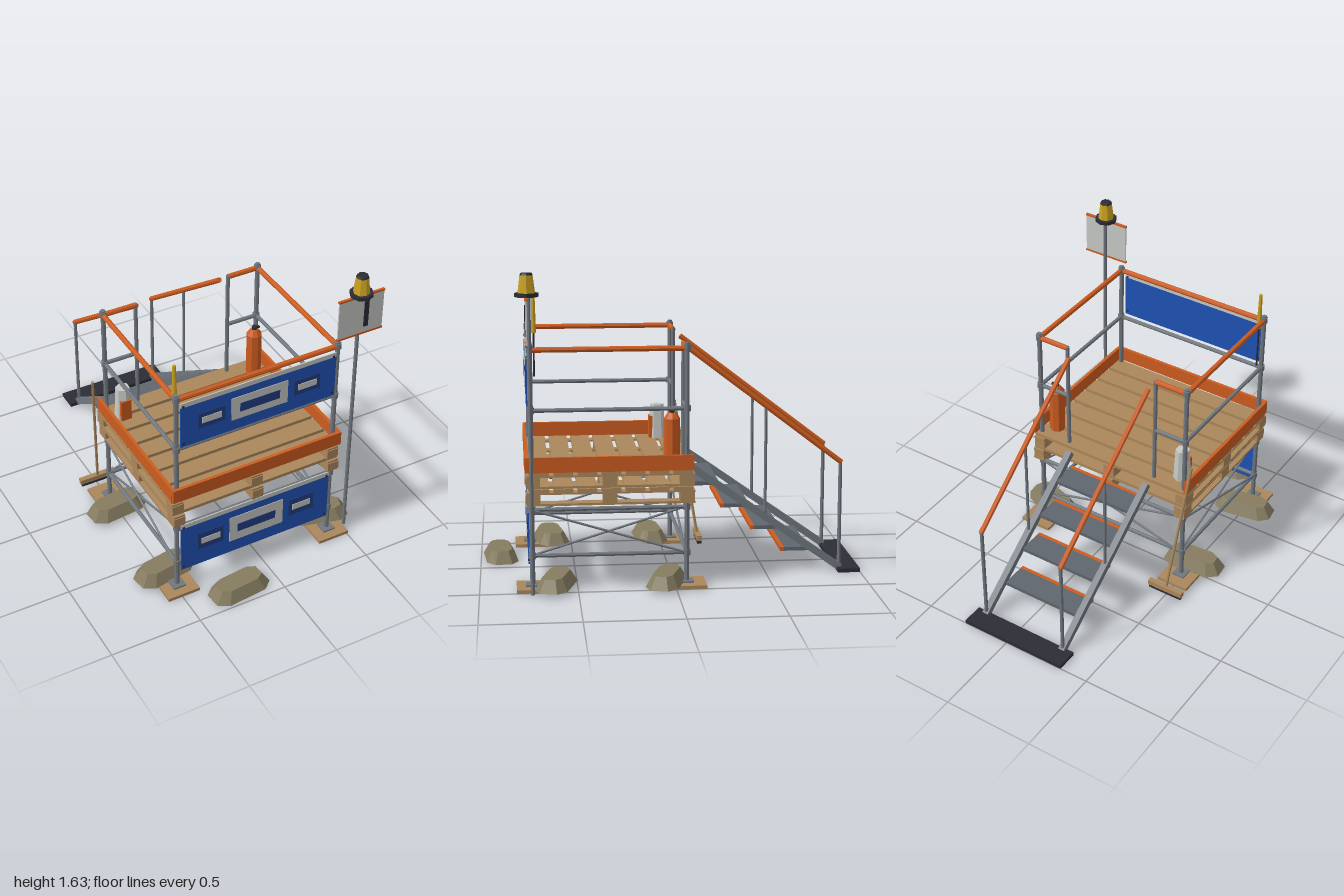
import * as THREE from 'three';

const mat = (name, color) => Object.assign(new THREE.MeshStandardMaterial({ color, flatShading: true }), { name });
const M = {
  wood: mat('wood', 0xab875b), orange: mat('safety orange', 0xcc5c20), blue: mat('banner blue', 0x1f52b4),
  navy: mat('navy', 0x213c82), white: mat('off white', 0xc6c9c5), steel: mat('steel', 0x70777e),
  tread: mat('tread grey', 0x60666e), dark: mat('dark rubber', 0x2b2c35), yellow: mat('yellow', 0xcaa21f),
  sand: mat('sandbag', 0x857b60),
};

export function createModel() {
  const root = new THREE.Group();
  root.name = 'workPlatform';
  const group = (name) => { const g = new THREE.Group(); g.name = name; root.add(g); return g; };
  const add = (parent, name, geo, m, x = 0, y = 0, z = 0) => {
    const mesh = new THREE.Mesh(geo, m);
    mesh.name = name;
    mesh.position.set(x, y, z);
    parent.add(mesh);
    return mesh;
  };
  // box given by its limits
  const box = (p, name, m, x0, x1, y0, y1, z0, z1) =>
    add(p, name, new THREE.BoxGeometry(x1 - x0, y1 - y0, z1 - z0), m, (x0 + x1) / 2, (y0 + y1) / 2, (z0 + z1) / 2);
  // upright cylinder or cone between two heights
  const drum = (p, name, m, x, z, y0, y1, r0, r1 = r0, n = 8) =>
    add(p, name, new THREE.CylinderGeometry(r1, r0, y1 - y0, n), m, x, (y0 + y1) / 2, z);
  // round tube between two points
  const rod = (p, name, m, a, b, r = 0.011) => {
    const A = new THREE.Vector3(...a), B = new THREE.Vector3(...b), d = B.clone().sub(A);
    const mesh = add(p, name, new THREE.CylinderGeometry(r, r, d.length(), 8), m);
    mesh.position.copy(A).add(B).multiplyScalar(0.5);
    mesh.quaternion.setFromUnitVectors(new THREE.Vector3(0, 1, 0), d.normalize());
    return mesh;
  };

  const XL = -0.49, XR = 0.417, ZB = -0.06, ZF = 0.73;

  // scaffold posts, collars, foot plates and wooden pads
  const frame = group('scaffoldFrame');
  for (const x of [XL, XR]) for (const z of [ZB, ZF]) {
    drum(frame, 'post', M.steel, x, z, 0.02, 1.26, 0.013);
    for (const y of [0.175, 0.415, 0.925, 1.235]) drum(frame, 'collar', M.steel, x, z, y - 0.016, y + 0.016, 0.019);
    box(frame, 'footPlate', M.steel, x - 0.035, x + 0.035, 0.02, 0.028, z - 0.035, z + 0.035);
    const pz = z === ZF ? 0.705 : -0.05;
    box(frame, 'footPad', M.wood, x - 0.09, x + 0.09, 0.002, 0.02, pz - 0.107, pz + 0.107);
  }

  // ledgers, guard rails and cross braces
  for (const x of [XL, XR]) {
    for (const y of [0.175, 0.415, 0.925]) rod(frame, 'sideRail', M.steel, [x, y, ZB], [x, y, ZF]);
    rod(frame, 'topRail', M.orange, [x, 1.232, ZB], [x, 1.232, ZF], 0.014);
    rod(frame, 'brace', M.steel, [x + 0.008, 0.175, ZB], [x + 0.008, 0.415, ZF], 0.006);
    rod(frame, 'brace', M.steel, [x - 0.008, 0.415, ZB], [x - 0.008, 0.175, ZF], 0.006);
  }
  for (const z of [ZB, ZF]) for (const y of [0.175, 0.415]) rod(frame, 'crossRail', M.steel, [XL, y, z], [XR, y, z]);
  rod(frame, 'brace', M.steel, [XL, 0.175, ZB - 0.008], [XR, 0.415, ZB - 0.008], 0.006);
  rod(frame, 'brace', M.steel, [XL, 0.415, ZB + 0.008], [XR, 0.175, ZB + 0.008], 0.006);
  rod(frame, 'midRail', M.steel, [XL, 0.925, ZF], [XR, 0.925, ZF]);
  rod(frame, 'topRail', M.orange, [XL, 1.232, ZF], [XR, 1.232, ZF], 0.014);
  for (const [a, b] of [[XL, -0.305], [XR, 0.238]]) {
    rod(frame, 'gateTopRail', M.orange, [a, 1.232, ZB], [b, 1.232, ZB], 0.014);
    rod(frame, 'gateMidRail', M.steel, [a, 0.925, ZB], [b, 0.925, ZB]);
    drum(frame, 'gatePost', M.steel, b, ZB, 0.6, 1.24, 0.011);
  }

  // two stacked pallets
  const pallet = (dx, top) => {
    const g = group('pallet');
    g.position.set(dx, top, 0);
    for (let i = 0; i < 7; i++) {
      const z = -0.09 + i * 0.1218;
      box(g, 'slat', M.wood, -0.525, 0.442, -0.018, 0, z, z + 0.1);
    }
    for (const x of [-0.495, -0.042, 0.41]) {
      box(g, 'stringer', M.wood, x - 0.032, x + 0.032, -0.028, -0.018, -0.1, 0.755);
      for (const z of [-0.06, 0.333, 0.723])
        box(g, 'block', M.wood, x - 0.032, x + 0.032, -0.074, -0.028, z - 0.037, z + 0.037);
      box(g, 'bottomBoard', M.wood, x - 0.032, x + 0.032, -0.086, -0.074, -0.1, 0.755);
    }
  };
  pallet(0, 0.613);
  pallet(0.008, 0.526);

  // toe boards on three sides
  const toe = group('toeBoards');
  box(toe, 'frontToeBoard', M.orange, -0.525, 0.452, 0.612, 0.69, 0.747, 0.764);
  box(toe, 'rightToeBoard', M.orange, -0.527, -0.51, 0.612, 0.69, -0.095, 0.747);
  box(toe, 'leftToeBoard', M.orange, 0.437, 0.454, 0.612, 0.69, -0.095, 0.747);

  // banner panels with plain rectangles
  for (const [y0, y1, cy] of [[0.945, 1.212, 1.075], [0.127, 0.432, 0.282]]) {
    const g = group('banner');
    const plate = (name, m, cx, w, h, z) => box(g, name, m, cx - w / 2, cx + w / 2, cy - h / 2, cy + h / 2, z, z + 0.003);
    box(g, 'bannerSheet', M.blue, -0.475, 0.4, y0, y1 - 0.026, 0.744, 0.75);
    box(g, 'bannerHem', M.white, -0.475, 0.4, y1 - 0.026, y1, 0.744, 0.75);
    plate('centrePatch', M.white, -0.036, 0.318, y0 > 0.5 ? 0.135 : 0.16, 0.75);
    plate('centreBar', M.navy, -0.036, 0.224, 0.05, 0.753);
    for (const cx of [-0.305, 0.234]) {
      plate('sidePatch', M.navy, cx, 0.15, y0 > 0.5 ? 0.09 : 0.105, 0.75);
      plate('sideBar', M.white, cx, 0.108, 0.036, 0.753);
    }
    for (const x of [-0.46, 0.385]) for (const y of [y0 + 0.02, y1 - 0.02])
      box(g, 'eyelet', M.dark, x - 0.006, x + 0.006, y - 0.006, y + 0.006, 0.742, 0.752);
  }

  // stairs: stringers, treads, handrails and ground plate
  const stairs = group('stairs');
  for (const x of [-0.283, 0.207]) {
    const dy = -0.565, dz = -0.8;
    const s = add(stairs, 'stairStringer', new THREE.BoxGeometry(0.034, 0.036, Math.hypot(dy, dz)), M.steel, x, 0.298, -0.5);
    s.rotation.x = -Math.atan2(dy, dz) + Math.PI;
    s.rotation.x = Math.atan2(dy, -dz) * -1 * -1;
    s.rotation.x = -Math.atan2(-dy, -dz);
    rod(stairs, 'handrail', M.orange, [x, 1.2, -0.095], [x, 0.585, -0.9], 0.014);
    drum(stairs, 'handrailPost', M.steel, x, -0.895, 0.02, 0.585, 0.01);
    drum(stairs, 'handrailPost', M.steel, x, -0.497, 0.3, 0.89, 0.008);
  }
  for (let i = 0; i < 4; i++) {
    const y = 0.482 - i * 0.122, z = -0.1 - i * 0.161;
    box(stairs, 'tread', M.tread, -0.268, 0.192, y - 0.01, y + 0.01, z - 0.152, z - 0.02);
    box(stairs, 'treadNosing', M.orange, -0.268, 0.192, y - 0.01, y + 0.011, z - 0.02, z);
  }
  box(stairs, 'groundPlate', M.dark, -0.342, 0.267, 0, 0.02, -1, -0.882);

  // sandbags: chamfered tapered blocks
  const bagGeo = () => {
    const a = 0.165, b = 0.085, cx = 0.055, cz = 0.04;
    const shape = new THREE.Shape([[a, b - cz], [a - cx, b], [cx - a, b], [-a, b - cz], [-a, cz - b], [cx - a, -b], [a - cx, -b], [a, cz - b]]
      .map(([x, y]) => new THREE.Vector2(x, y)));
    const geo = new THREE.ExtrudeGeometry(shape, { depth: 0.064, bevelEnabled: false }).rotateX(-Math.PI / 2);
    const p = geo.attributes.position;
    for (let i = 0; i < p.count; i++) if (p.getY(i) > 0.03) p.setXYZ(i, p.getX(i) * 0.76, p.getY(i), p.getZ(i) * 0.62);
    geo.computeVertexNormals();
    return geo;
  };
  const bags = group('sandbags');
  for (const [x, y, z, r] of [[-0.505, 0.02, 0.055, 0.1], [-0.505, 0.02, 0.61, 0.16], [0.43, 0.02, 0.045, -0.32],
    [0.43, 0.02, 0.61, -0.28], [-0.215, 0.002, 0.893, 0.1]])
    add(bags, 'sandbag', bagGeo(), M.sand, x, y, z).rotation.y = r;

  // sign on a pole with warning beacon
  const sign = group('signPost');
  drum(sign, 'signPole', M.steel, 0.528, 0.732, 0, 1.51, 0.01);
  box(sign, 'signBoard', M.white, 0.4, 0.658, 1.285, 1.503, 0.742, 0.75);
  for (const y of [1.278, 1.502]) box(sign, 'signEdge', M.orange, 0.397, 0.66, y, y + 0.01, 0.739, 0.753);
  box(sign, 'signMark', M.dark, 0.546, 0.572, 1.32, 1.472, 0.75, 0.754);
  drum(sign, 'beaconBase', M.dark, 0.528, 0.742, 1.511, 1.53, 0.06);
  drum(sign, 'beaconLens', M.yellow, 0.528, 0.742, 1.53, 1.617, 0.043, 0.032);
  drum(sign, 'beaconCap', M.dark, 0.528, 0.742, 1.617, 1.628, 0.033, 0.027);

  // gas bottle
  const bottle = group('gasBottle');
  drum(bottle, 'bottleBody', M.orange, 0.365, 0.012, 0.613, 0.865, 0.042);
  drum(bottle, 'bottleShoulder', M.orange, 0.365, 0.012, 0.865, 0.897, 0.042, 0.02);
  drum(bottle, 'bottleValve', M.dark, 0.365, 0.012, 0.895, 0.915, 0.014);
  box(bottle, 'bottleNozzle', M.dark, 0.365, 0.395, 0.898, 0.908, 0.005, 0.019);

  // hexagonal canister with an orange front pouch
  const canister = group('canister');
  drum(canister, 'canisterBody', M.white, -0.43, 0.018, 0.613, 0.8, 0.046, 0.038, 6);
  box(canister, 'canisterPouch', M.orange, -0.461, -0.402, 0.613, 0.735, 0.045, 0.064);

  // marker lamp on the front corner
  const lamp = group('markerLamp');
  drum(lamp, 'lampStem', M.dark, -0.479, 0.695, 0.955, 1.2, 0.005);
  drum(lamp, 'lampCone', M.yellow, -0.479, 0.695, 1.2, 1.41, 0.014, 0.009);

  // broom leaning at the back corner
  const broom = group('broom');
  rod(broom, 'broomHandle', M.wood, [-0.49, 0.04, -0.215], [-0.55, 0.8, -0.092], 0.008);
  box(broom, 'broomHead', M.wood, -0.594, -0.386, 0.018, 0.046, -0.234, -0.204);
  box(broom, 'broomBristles', M.dark, -0.588, -0.392, 0, 0.018, -0.23, -0.208);

  return root;
}
